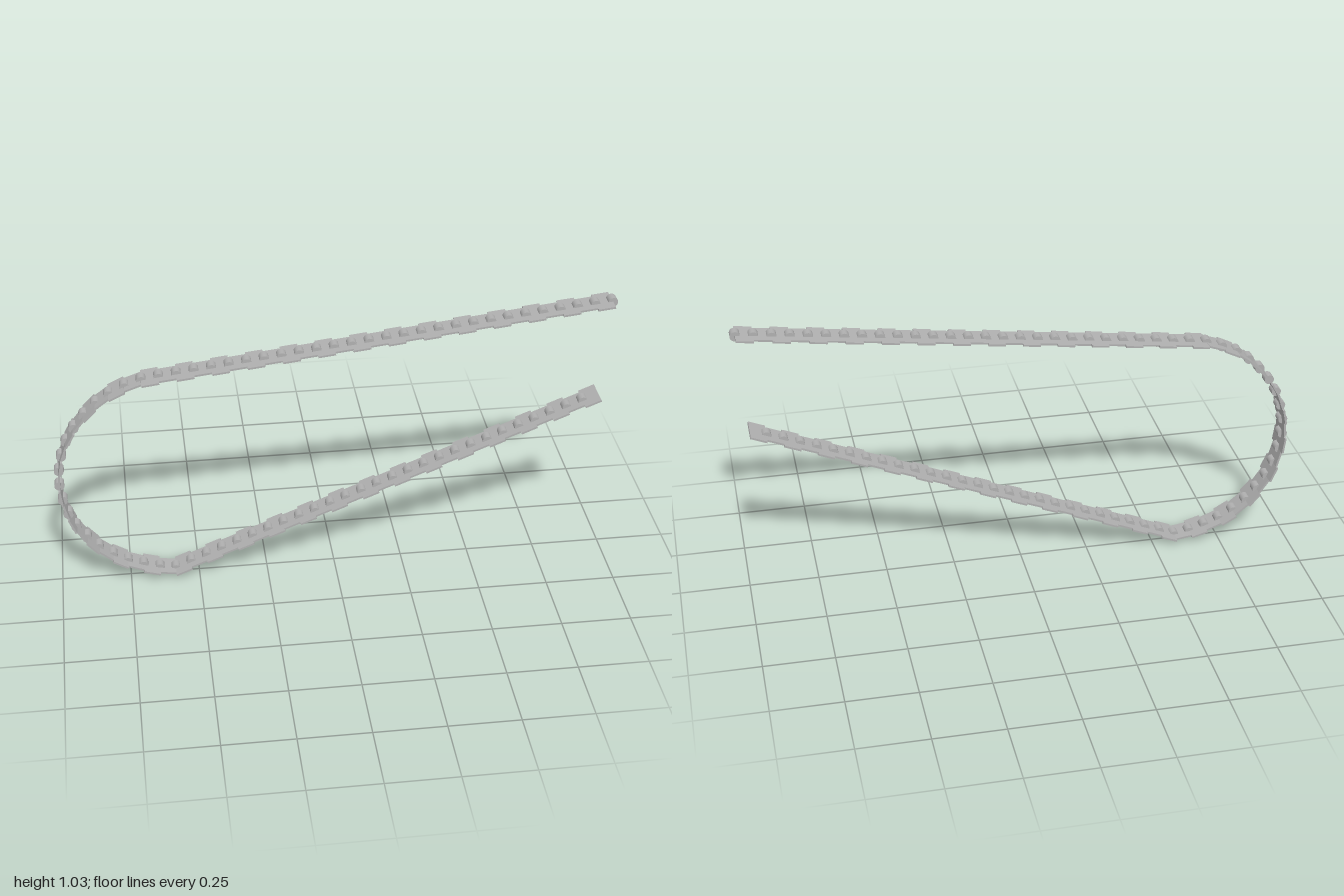
import * as THREE from 'three';

const ROLLER_RADIUS = 0.0175;
const ROLLER_WIDTH = 0.035;
const PLATE_THICKNESS = 0.007;
const WIDE = 0.115;
const NARROW = 0.09;
const STRAIGHT_LINKS = 26;

// Joints around the bend, from the upper run to the lower run
const BEND = [
  [-0.612, 0.826], [-0.673, 0.818], [-0.732, 0.797], [-0.788, 0.77], [-0.836, 0.735],
  [-0.879, 0.692], [-0.917, 0.644], [-0.947, 0.591], [-0.968, 0.532], [-0.98, 0.473],
  [-0.9825, 0.412], [-0.975, 0.35], [-0.959, 0.289], [-0.935, 0.233], [-0.9, 0.182],
  [-0.86, 0.136], [-0.812, 0.096], [-0.759, 0.065], [-0.703, 0.043], [-0.644, 0.026],
  [-0.585, 0.0175],
].map(([x, y]) => new THREE.Vector2(x, y));

// All joints of the open chain: upper run, bend, lower run and its free end
function chainJoints() {
  const upperEnd = new THREE.Vector2(0.9825, 1.014);
  const lowerEnd = new THREE.Vector2(0.902, 0.618);
  const first = BEND[0];
  const last = BEND[BEND.length - 1];
  const joints = [];
  for (let i = 0; i < STRAIGHT_LINKS; i++) {
    joints.push(upperEnd.clone().lerp(first, i / STRAIGHT_LINKS));
  }
  joints.push(...BEND);
  for (let i = 1; i <= STRAIGHT_LINKS + 1; i++) {
    joints.push(last.clone().lerp(lowerEnd, i / STRAIGHT_LINKS));
  }
  return joints;
}

export function createModel() {
  const steel = new THREE.MeshStandardMaterial({ color: 0xb0b0b0 });
  steel.name = 'steel grey';

  const chain = new THREE.Group();
  chain.name = 'chain';

  const rollerGeometry = new THREE.CylinderGeometry(ROLLER_RADIUS, ROLLER_RADIUS, ROLLER_WIDTH, 16);
  rollerGeometry.rotateX(Math.PI / 2);

  const joints = chainJoints();
  for (let i = 0; i < joints.length - 1; i++) {
    const a = joints[i];
    const b = joints[i + 1];
    const angle = Math.atan2(b.y - a.y, b.x - a.x);

    // Flat link plate, alternately wide and narrow
    const plate = new THREE.Mesh(
      new THREE.BoxGeometry(a.distanceTo(b), PLATE_THICKNESS, i % 2 ? NARROW : WIDE), steel);
    plate.name = i % 2 ? 'narrowLink' : 'wideLink';
    plate.position.set((a.x + b.x) / 2, (a.y + b.y) / 2, 0);
    plate.rotation.z = angle;

    // Roller at the joint
    const roller = new THREE.Mesh(rollerGeometry, steel);
    roller.name = 'roller';
    roller.position.set(a.x, a.y, 0);
    roller.rotation.z = angle;

    chain.add(plate, roller);
  }
  return chain;
}
